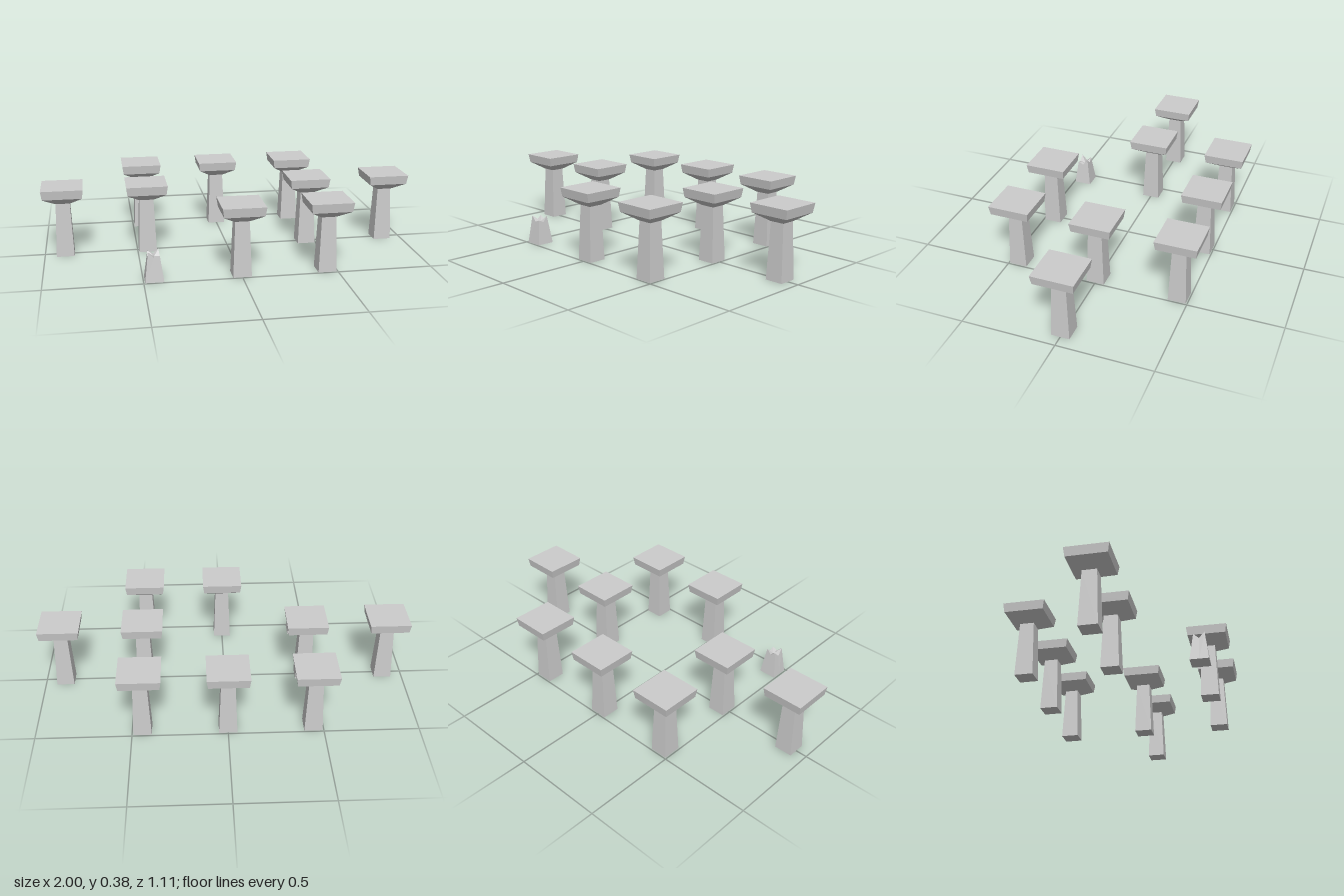
import * as THREE from 'three';

const SPACING = 0.445;

const stone = new THREE.MeshStandardMaterial({ color: 0xcccccc, flatShading: true });

// Square section solid from [half width, height] pairs, bottom to top
function squareLathe(profile) {
  const points = profile.map(([half, y]) => new THREE.Vector2(half * Math.SQRT2, y));
  const geometry = new THREE.LatheGeometry(points, 4, Math.PI / 4).toNonIndexed();
  geometry.computeVertexNormals();
  return geometry;
}

function named(geometry, name) {
  const mesh = new THREE.Mesh(geometry, stone);
  mesh.name = name;
  return mesh;
}

// Tapered stump: square base, eight-point jagged rim, sunken broken centre
function stumpGeometry() {
  const base = 0.048;
  const rimHeights = [0.135, 0.122, 0.153, 0.128, 0.148, 0.12, 0.14, 0.125];
  // directions around the square, counter-clockwise seen from above, starting front right (+x, +z)
  const around = [[1, 1], [1, 0], [1, -1], [0, -1], [-1, -1], [-1, 0], [-1, 1], [0, 1]];
  const bottom = around.map(([x, z]) => [x * base, 0, z * base]);
  const rim = around.map(([x, z], i) => {
    const half = base - 0.135 * rimHeights[i];
    return [x * half, rimHeights[i], z * half];
  });
  rim[6][1] = 0.155;
  const centre = [0.004, 0.122, -0.003];
  const positions = [];
  const face = (...corners) => corners.forEach((c) => positions.push(...c));
  for (let i = 0; i < 8; i++) {
    const j = (i + 1) % 8;
    face(bottom[i], bottom[j], rim[j]);
    face(bottom[i], rim[j], rim[i]);
    face(rim[i], rim[j], centre);
    face(bottom[j], bottom[i], [0, 0, 0]);
  }
  const geometry = new THREE.BufferGeometry();
  geometry.setAttribute('position', new THREE.Float32BufferAttribute(positions, 3));
  geometry.computeVertexNormals();
  return geometry;
}

export function createModel() {
  const model = new THREE.Group();
  model.name = 'pillarField';

  const shaft = squareLathe([[0, 0], [0.048, 0], [0.037, 0.297]]);
  const cap = squareLathe([[0, 0.295], [0.039, 0.295], [0.103, 0.337], [0.11, 0.385], [0, 0.385]]);

  // Whole pillars, as grid columns and rows
  const places = [
    [-1, -1], [0, -1], [1, -1],
    [-2, 0], [-1, 0], [1, 0], [2, 0],
    [0, 1], [1, 1],
  ];
  for (const [column, row] of places) {
    const pillar = new THREE.Group();
    pillar.name = 'pillar';
    pillar.add(named(shaft, 'shaft'), named(cap, 'capital'));
    pillar.position.set(column * SPACING, 0, row * SPACING);
    model.add(pillar);
  }

  // Broken pillar at the front right corner
  const stump = named(stumpGeometry(), 'brokenStump');
  stump.position.set(-SPACING, 0, SPACING);
  model.add(stump);

  return model;
}
